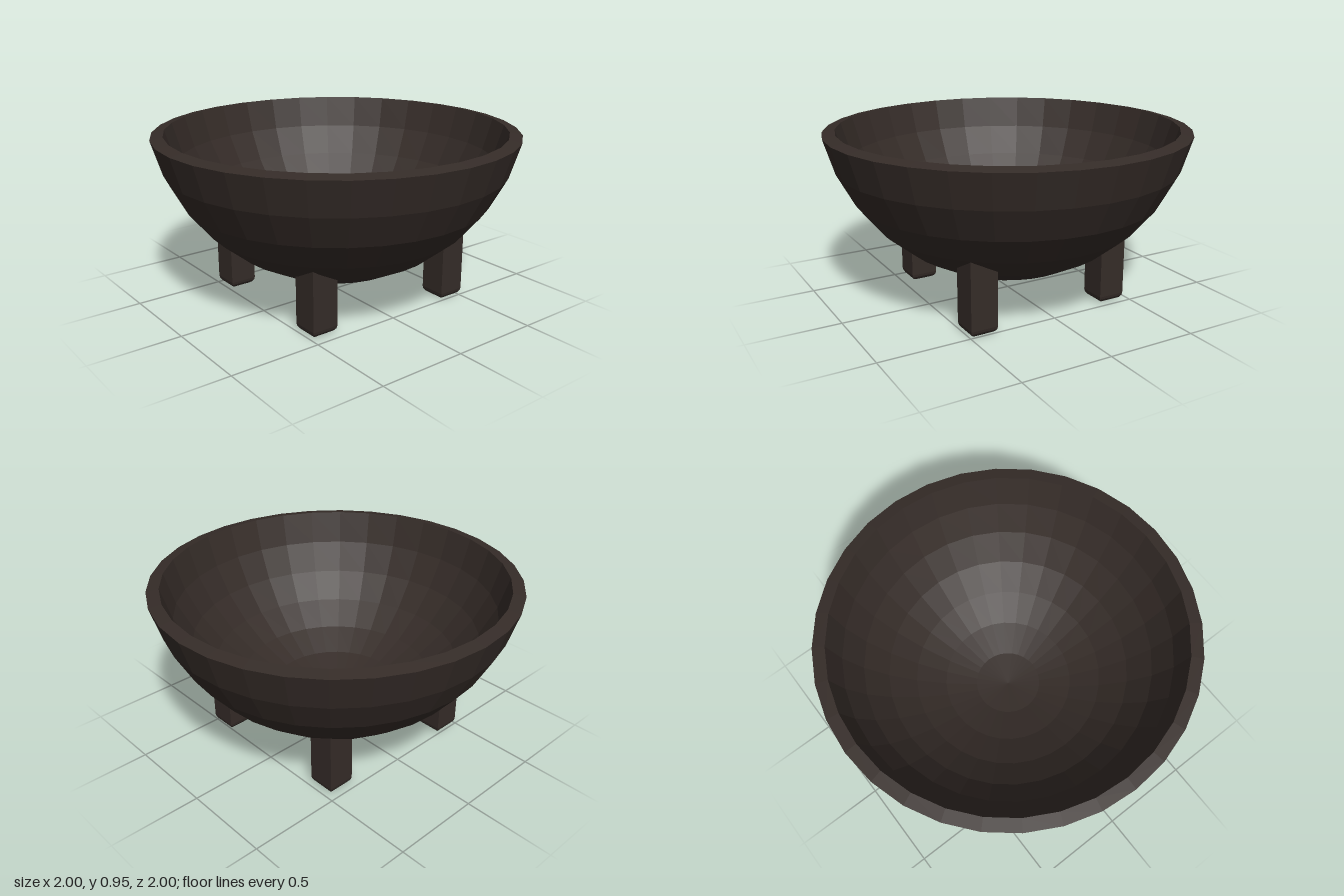
import * as THREE from 'three';

const CENTRE_Y = 1.14;   // centre of the bowl's spheres
const OUTER = 1.02, INNER = 0.95;
const STEP = Math.PI / 16;

export function createModel() {
  const model = new THREE.Group();
  const material = new THREE.MeshStandardMaterial({ color: 0x352c28, flatShading: true });

  // Bowl: two concentric sphere sections joined by a sloping rim
  const arcPoint = (r, k) => new THREE.Vector2(r * Math.sin(k * STEP), CENTRE_Y - r * Math.cos(k * STEP));
  const profile = [];
  for (let k = 0; k <= 7; k++) profile.push(arcPoint(OUTER, k));
  for (let k = 7; k >= 0; k--) profile.push(arcPoint(INNER, k));
  const bowl = new THREE.Mesh(new THREE.LatheGeometry(profile, 32), material);
  bowl.name = 'bowl';
  model.add(bowl);

  // Square leg with a rounded foot, its top cut to end inside the bowl wall
  const half = 0.076, bevel = 0.04, top = 0.5;
  function addLeg(name, x, z) {
    const points = [new THREE.Vector2(0, 0)];
    for (let i = 0; i <= 4; i++) {
      const a = (i / 4) * Math.PI / 2;
      const side = half - bevel + bevel * Math.sin(a);
      points.push(new THREE.Vector2(side * Math.SQRT2, bevel * (1 - Math.cos(a))));
    }
    points.push(new THREE.Vector2(half * Math.SQRT2, top));
    const geometry = new THREE.LatheGeometry(points, 4, Math.PI / 4);
    geometry.translate(x, 0, z);
    const p = geometry.attributes.position;
    for (let i = 0; i < p.count; i++) {
      if (p.getY(i) < top - 0.01) continue;
      const r2 = p.getX(i) ** 2 + p.getZ(i) ** 2;
      p.setY(i, CENTRE_Y - Math.sqrt(0.985 ** 2 - r2));
    }
    geometry.computeVertexNormals();
    const leg = new THREE.Mesh(geometry, material);
    leg.name = name;
    model.add(leg);
  }
  addLeg('frontLeftLeg', 0.375, 0.415);
  addLeg('frontRightLeg', -0.425, 0.415);
  addLeg('backLeftLeg', 0.425, -0.435);
  addLeg('backRightLeg', -0.39, -0.4);

  return model;
}
